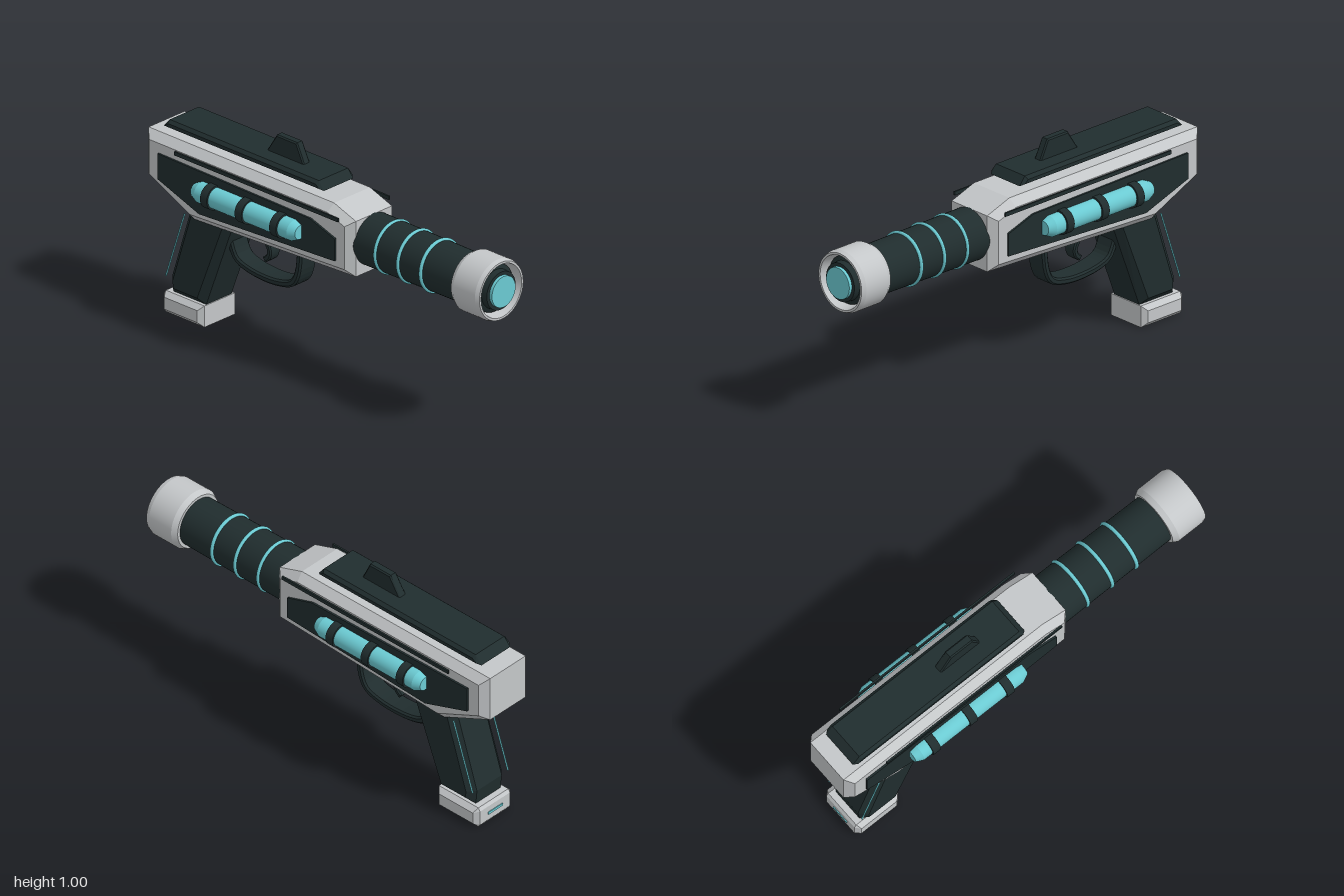
import * as THREE from 'three';

const mat = (name, color) => Object.assign(new THREE.MeshStandardMaterial({ color }), { name });

export function createModel() {
  const light = mat('light grey shell', 0xc4c7c9);
  const dark = mat('dark gunmetal', 0x202d2e);
  const cyan = mat('cyan glow', 0x6bcad2);
  const root = new THREE.Group();
  root.name = 'blaster';

  const add = (name, geometry, material, parent = root) => {
    const mesh = new THREE.Mesh(geometry, material);
    mesh.name = name;
    parent.add(mesh);
    return mesh;
  };

  // Side outline of [z, y] points, extruded across x with an inward chamfer
  const slab = (points, halfWidth, bevel = 0) => {
    const shape = new THREE.Shape(points.map(([z, y]) => new THREE.Vector2(z, y)));
    const depth = 2 * (halfWidth - bevel);
    const geo = new THREE.ExtrudeGeometry(shape, {
      depth, bevelEnabled: bevel > 0, bevelSize: bevel, bevelThickness: bevel,
      bevelOffset: -bevel, bevelSegments: 1,
    });
    return geo.translate(0, 0, -depth / 2).rotateY(-Math.PI / 2);
  };

  // Band of constant thickness following a smooth [z, y] path
  const band = (points, thickness, halfWidth, bevel) => {
    const curve = new THREE.SplineCurve(points.map(([z, y]) => new THREE.Vector2(z, y)));
    const outer = [], inner = [], n = 24;
    for (let i = 0; i <= n; i++) {
      const p = curve.getPoint(i / n), t = curve.getTangent(i / n);
      const dz = -t.y * thickness / 2, dy = t.x * thickness / 2;
      outer.push([p.x + dz, p.y + dy]);
      inner.unshift([p.x - dz, p.y - dy]);
    }
    return slab([...outer, ...inner], halfWidth, bevel);
  };

  // Turned part along z from [radius, z] points, each segment keeping a sharp edge
  const turned = (profile) => {
    const group = new THREE.Group();
    for (let i = 0; i < profile.length - 1; i++) {
      const pts = [profile[i], profile[i + 1]].map(([r, z]) => new THREE.Vector2(r, z));
      group.add(new THREE.Mesh(new THREE.LatheGeometry(pts, 48).rotateX(Math.PI / 2)));
    }
    return group;
  };
  const addTurned = (name, profile, material, x, y, parent = root) => {
    const group = turned(profile);
    group.name = name;
    group.position.set(x, y, 0);
    group.children.forEach((m, i) => { m.material = material; m.name = `${name}Section${i + 1}`; });
    parent.add(group);
  };

  // Chamfered receiver
  add('receiver', slab([[0.23, 0.54], [0.23, 0.80], [0.10, 0.845], [-1, 0.845],
    [-1, 0.625], [-0.73, 0.50]], 0.145, 0.035), light);

  // Top rail and sight
  add('topRail', slab([[0.02, 0.868], [-0.01, 0.907], [-0.895, 0.907], [-0.93, 0.868]], 0.103, 0.014), dark);
  add('sight', slab([[-0.165, 0.9], [-0.21, 0.995], [-0.33, 0.995], [-0.39, 0.9]], 0.02, 0.006), dark);

  // Barrel, muzzle and rings
  const axisY = 0.683;
  addTurned('barrel', [[0.119, 0.18], [0.113, 0.86], [0.11, 0.945], [0.09, 0.955], [0.088, 0.985], [0, 0.985]],
    dark, 0, axisY);
  addTurned('muzzleCap', [[0.11, 0.81], [0.127, 0.81], [0.141, 0.835], [0.141, 0.965], [0.134, 0.986],
    [0.124, 0.986], [0.112, 0.93]], light, 0, axisY);
  addTurned('muzzleLens', [[0.072, 0.984], [0.072, 1], [0, 1]], cyan, 0, axisY);
  for (const z of [0.62, 0.485, 0.35]) {
    add('barrelRing', new THREE.TorusGeometry(0.116, 0.009, 10, 48), cyan).position.set(0, axisY, z);
  }

  // Parts repeated on both sides
  for (const side of [1, -1]) {
    const group = new THREE.Group();
    group.name = side > 0 ? 'leftSide' : 'rightSide';
    root.add(group);

    add('sidePanel', slab([[0.145, 0.60], [0.145, 0.705], [0, 0.753], [-0.905, 0.765],
      [-0.905, 0.645], [-0.66, 0.56]], 0.007), dark, group).position.x = side * 0.147;
    add('sideStrip', new THREE.BoxGeometry(0.008, 0.017, 0.97), dark, group)
      .position.set(side * 0.157, 0.802, -0.315);

    // Energy cell with clamps
    addTurned('energyCell', [[0, -0.67], [0.032, -0.67], [0.048, -0.635], [0.048, -0.085], [0.032, -0.05], [0, -0.05]],
      cyan, side * 0.163, 0.675, group);
    for (const z of [-0.16, -0.365, -0.57]) {
      addTurned('cellClamp', [[0.045, z - 0.02], [0.056, z - 0.02], [0.056, z + 0.02], [0.045, z + 0.02]],
        dark, side * 0.163, 0.675, group);
    }

    // Thin light line along the back of the grip
    const line = new THREE.LineCurve3(new THREE.Vector3(side * 0.11, 0.51, -0.785),
      new THREE.Vector3(side * 0.11, 0.18, -0.897));
    add('gripLine', new THREE.TubeGeometry(line, 1, 0.004, 8), cyan, group);
  }

  // Grip and its base
  add('grip', slab([[-0.52, 0.55], [-0.69, 0.10], [-0.885, 0.10], [-0.892, 0.17], [-0.77, 0.55]].reverse(),
    0.11, 0.033), dark);
  add('gripBase', slab([[-0.685, 0], [-0.685, 0.10], [-0.915, 0.10], [-0.925, 0.085], [-0.925, 0.015], [-0.915, 0]],
    0.115, 0.022), light);
  add('baseLight', new THREE.BoxGeometry(0.09, 0.012, 0.008), cyan).position.set(0, 0.05, -0.925);

  // Trigger guard and trigger
  add('triggerGuard', band([[-0.168, 0.52], [-0.18, 0.41], [-0.215, 0.345], [-0.29, 0.32], [-0.38, 0.314],
    [-0.48, 0.325], [-0.55, 0.355], [-0.585, 0.43]], 0.032, 0.05, 0.008), dark);
  add('trigger', band([[-0.415, 0.53], [-0.385, 0.475], [-0.368, 0.44], [-0.373, 0.41], [-0.398, 0.388]],
    0.026, 0.03, 0.006), dark);

  return root;
}
